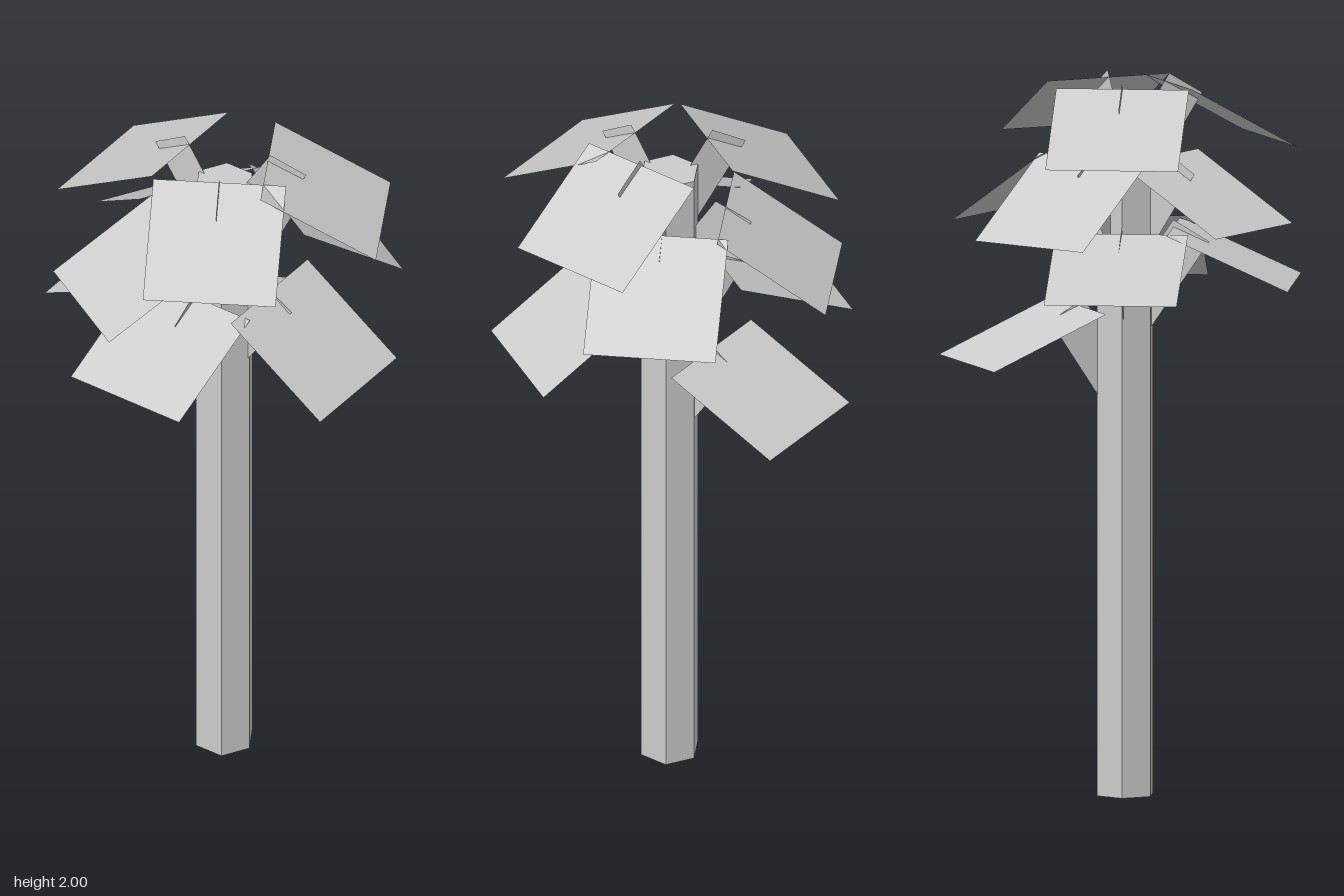
import * as THREE from 'three';

const grey = (side = THREE.FrontSide) =>
  new THREE.MeshStandardMaterial({ color: 0xcccccc, flatShading: true, side });

const LEAF = 0.367; // side of each square leaf

// azimuth in degrees from +z towards +x, inner radius, inner height, drop to the outer edge
const LEAVES = [
  [0, 0.115, 1.98, 0.18],
  [88.8, 0.123, 1.98, 0.18],
  [240, 0.112, 1.98, 0.18],
  [120, 0.16, 1.79, 0.21],
  [209.5, 0.157, 1.79, 0.21],
  [300, 0.112, 1.785, 0.18],
  [60, 0.154, 1.59, 0.21],
  [329.5, 0.13, 1.582, 0.15],
  [240, 0.138, 1.58, 0.15],
  [180, 0.145, 1.37, 0.14],
];

export function createModel() {
  const model = new THREE.Group();
  model.name = 'tree';

  // Six-sided trunk
  const height = 1.9;
  const trunk = new THREE.Mesh(new THREE.CylinderGeometry(0.085, 0.085, height, 6), grey());
  trunk.name = 'trunk';
  trunk.position.set(0.002, height / 2, -0.003);
  model.add(trunk);

  // Flat stem standing in the radial plane, drawn as (radius, height below leaf top)
  const stemShape = new THREE.Shape([
    new THREE.Vector2(0.03, -0.337),
    new THREE.Vector2(0.23, -0.04),
    new THREE.Vector2(0.13, 0.02),
    new THREE.Vector2(0.03, -0.13),
  ]);
  const stemGeometry = new THREE.ShapeGeometry(stemShape).rotateY(-Math.PI / 2);

  // Square leaf starting at its inner edge and running along +z
  const leafGeometry = new THREE.PlaneGeometry(LEAF, LEAF)
    .rotateX(-Math.PI / 2)
    .translate(0, 0, LEAF / 2);

  const sheet = grey(THREE.DoubleSide);
  LEAVES.forEach(([azimuth, radius, top, drop], i) => {
    const branch = new THREE.Group();
    branch.name = `branch${i + 1}`;
    branch.position.y = top;
    branch.rotation.y = THREE.MathUtils.degToRad(azimuth);

    const leaf = new THREE.Mesh(leafGeometry, sheet);
    leaf.name = 'leaf';
    leaf.position.z = radius;
    leaf.rotation.x = Math.asin(drop / LEAF);

    const stem = new THREE.Mesh(stemGeometry, sheet);
    stem.name = 'stem';

    branch.add(leaf, stem);
    model.add(branch);
  });

  return model;
}
